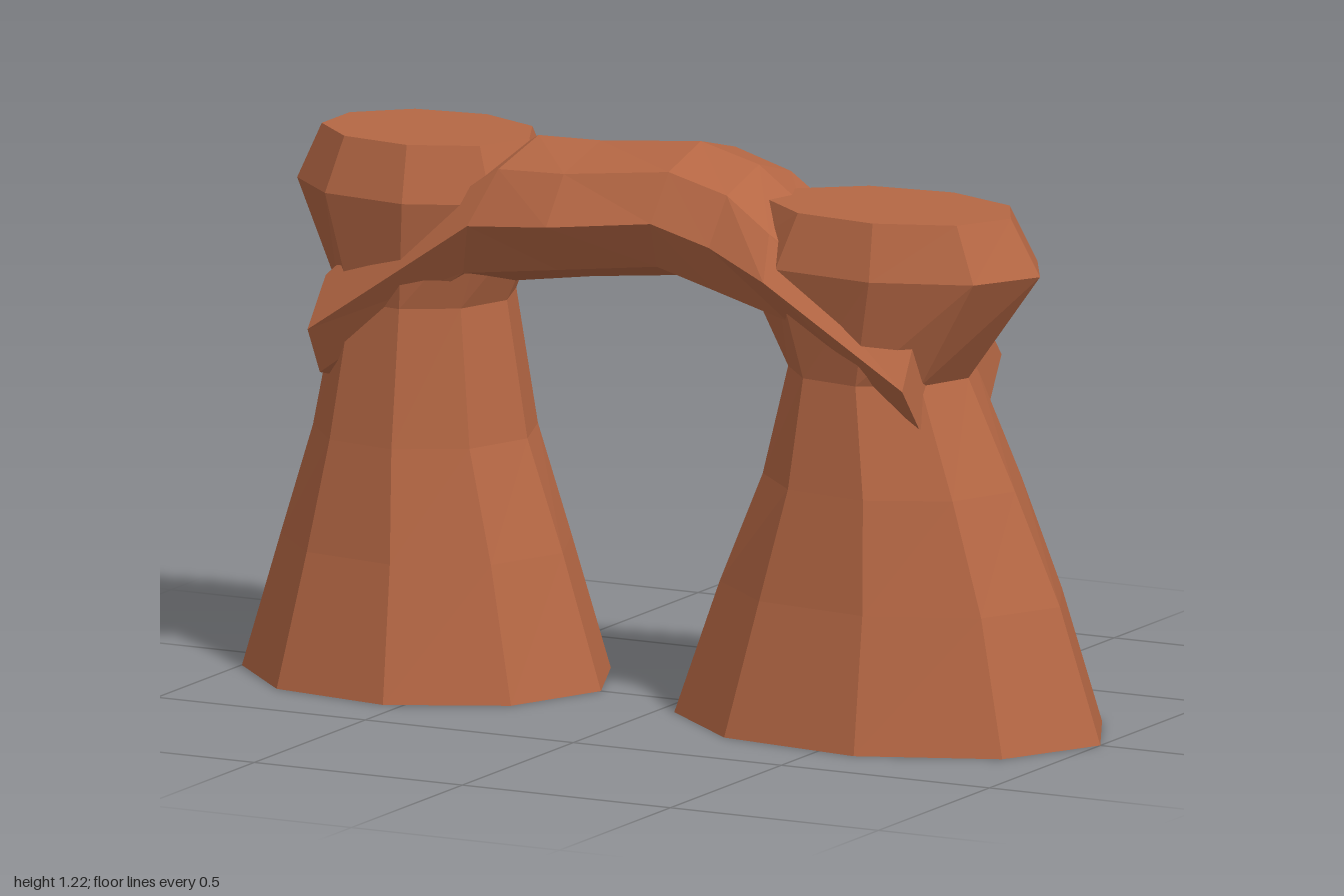
import * as THREE from 'three';

const clay = new THREE.MeshStandardMaterial({ color: 0xb56744, flatShading: true });
clay.name = 'red clay rock';

// Faceted solid through a list of closed rings, capped at both ends
function loft(name, rings) {
  const pos = [];
  const tri = (...pts) => pts.forEach((p) => pos.push(...p));
  const n = rings[0].length;
  for (let i = 0; i < rings.length - 1; i++) {
    for (let j = 0; j < n; j++) {
      const k = (j + 1) % n;
      const a = rings[i][j], b = rings[i][k], c = rings[i + 1][k], d = rings[i + 1][j];
      tri(a, b, c);
      tri(a, c, d);
    }
  }
  const first = rings[0], last = rings[rings.length - 1];
  for (let j = 1; j < n - 1; j++) {
    tri(first[0], first[j + 1], first[j]);
    tri(last[0], last[j], last[j + 1]);
  }
  const geo = new THREE.BufferGeometry();
  geo.setAttribute('position', new THREE.Float32BufferAttribute(pos, 3));
  geo.computeVertexNormals();
  const mesh = new THREE.Mesh(geo, clay);
  mesh.name = name;
  return mesh;
}

function ring(sides, point) {
  return Array.from({ length: sides }, (_, j) => {
    const a = (j / sides) * Math.PI * 2;
    return point(Math.cos(a), Math.sin(a));
  });
}

// Nine-sided pillar; levels are [y, centre x, x radius, z radius]
function pillar(name, levels) {
  return loft(name, levels.map(([y, cx, rx, rz]) =>
    ring(9, (c, s) => [cx + rx * c, y, -rz * s])));
}

export function createModel() {
  const model = new THREE.Group();
  model.name = 'rockArch';

  // Flared pillars with a narrow waist and a chamfered cap
  model.add(pillar('rightPillar', [
    [0, -0.612, 0.412, 0.35],
    [0.29, -0.615, 0.323, 0.283],
    [0.53, -0.62, 0.243, 0.24],
    [0.825, -0.616, 0.19, 0.195],
    [1.06, -0.612, 0.295, 0.225],
    [1.18, -0.612, 0.24, 0.184],
  ]));
  model.add(pillar('leftPillar', [
    [0, 0.505, 0.495, 0.35],
    [0.29, 0.508, 0.395, 0.283],
    [0.53, 0.505, 0.29, 0.24],
    [0.765, 0.478, 0.205, 0.195],
    [1.0, 0.5, 0.355, 0.225],
    [1.12, 0.501, 0.284, 0.186],
  ]));

  // Eight-sided bridge: [x, y, lean of the top, y radius, front z radius, back z radius]
  const spans = [
    [-0.78, 0.77, 0.01, 0.15, 0.235, 0.235],
    [-0.41, 1.025, 0.06, 0.165, 0.21, 0.2],
    [-0.21, 1.045, 0.01, 0.148, 0.23, 0.22],
    [0.02, 1.068, 0.02, 0.147, 0.19, 0.235],
    [0.16, 1.03, 0.02, 0.148, 0.19, 0.22],
    [0.31, 0.975, -0.03, 0.13, 0.225, 0.19],
    [0.64, 0.77, -0.01, 0.13, 0.218, 0.23],
  ];
  model.add(loft('bridge', spans.map(([x, y, lean, ry, front, back]) =>
    ring(8, (c, s) => [x + lean * c, y + ry * c, s * (s > 0 ? front : back)]))));

  return model;
}
